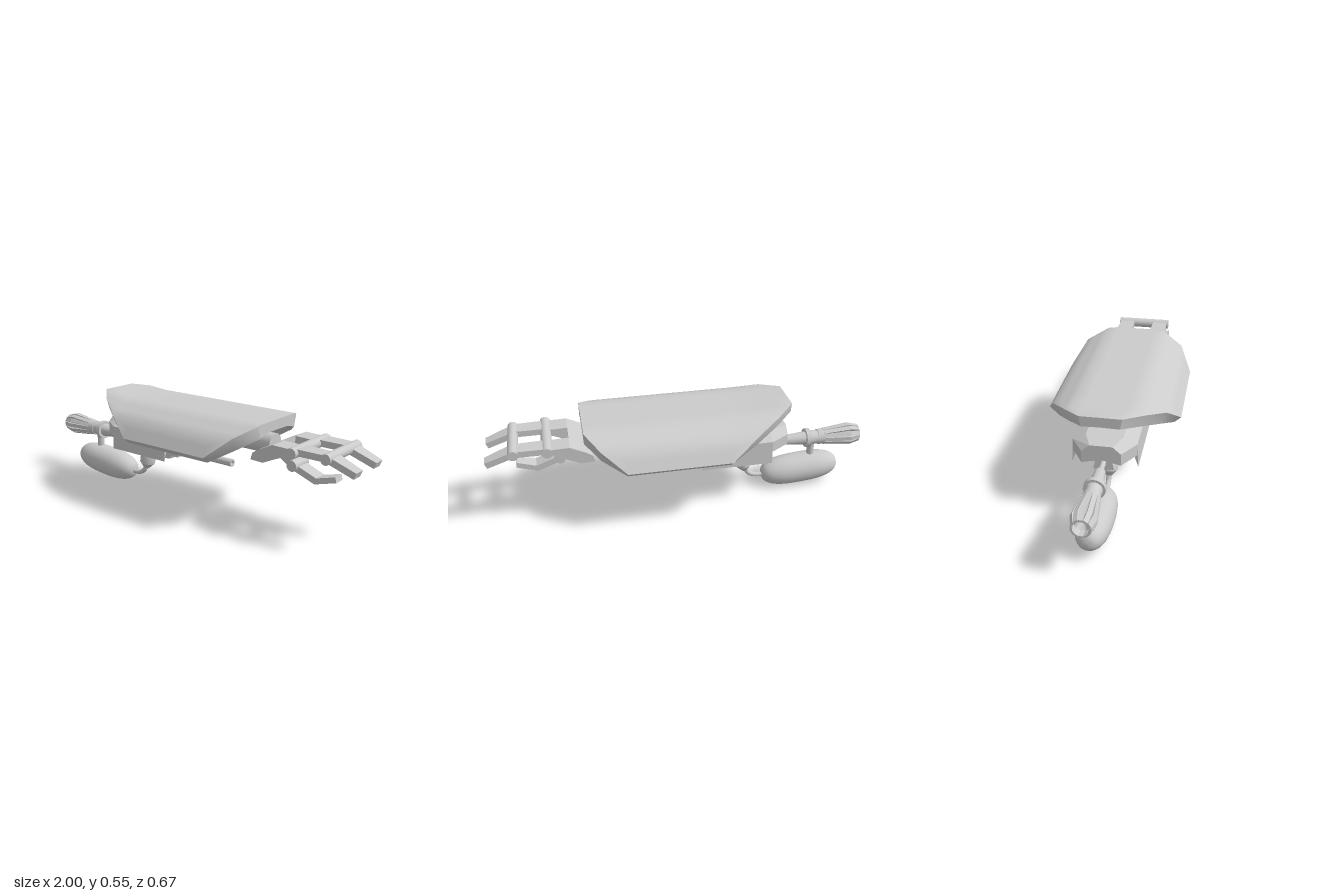
import * as THREE from 'three';
import { toCreasedNormals } from 'three/addons/utils/BufferGeometryUtils.js';

const mat = new THREE.MeshStandardMaterial({ color: 0xcccccc, side: THREE.DoubleSide });

export function createModel() {
  const root = new THREE.Group();

  function add(name, geo, x = 0, y = 0, z = 0) {
    const m = new THREE.Mesh(geo, mat);
    m.name = name;
    m.position.set(x, y, z);
    root.add(m);
    return m;
  }
  // Piecewise linear lookup
  function lerpAt(pts, v) {
    for (let i = 1; i < pts.length; i++) {
      const [a, b] = [pts[i - 1], pts[i]];
      if (v <= b[0]) return a[1] + (b[1] - a[1]) * (v - a[0]) / (b[0] - a[0]);
    }
    return pts[pts.length - 1][1];
  }
  const shapeOf = pts => new THREE.Shape(pts.map(p => new THREE.Vector2(p[0], p[1])));
  // Profile in x-y, centred thickness along z
  function plateZ(name, pts, depth, z = 0) {
    const g = new THREE.ExtrudeGeometry(shapeOf(pts), { depth, bevelEnabled: false });
    return add(name, g, 0, 0, z - depth / 2);
  }
  // Profile in z-y, extruded from x0 to x1, with z scaled by taper at x0
  function plateX(name, pts, x0, x1, taper = 1) {
    const g = new THREE.ExtrudeGeometry(shapeOf(pts.map(p => [-p[0], p[1]])), { depth: x1 - x0, bevelEnabled: false });
    g.rotateY(Math.PI / 2);
    const p = g.attributes.position;
    for (let i = 0; i < p.count; i++) if (p.getX(i) < 0.001) p.setZ(i, p.getZ(i) * taper);
    g.computeVertexNormals();
    return add(name, g, x0, 0, 0);
  }
  // Turned part along x: points are [x, radius]
  function turned(name, pts, y, seg = 20) {
    const g = new THREE.LatheGeometry(pts.map(p => new THREE.Vector2(p[1], p[0])), seg);
    g.rotateZ(-Math.PI / 2);
    return add(name, toCreasedNormals(g, 0.6), 0, y, 0);
  }
  function rodZ(name, x, y, r, len, z = 0) {
    return add(name, new THREE.CylinderGeometry(r, r, len, 16).rotateX(Math.PI / 2), x, y, z);
  }
  // Box link between two points in x-y, narrowing towards the end
  function link(name, a, b, z, w0, w1, t) {
    const dx = b[0] - a[0], dy = b[1] - a[1], len = Math.hypot(dx, dy);
    const g = new THREE.BoxGeometry(len, t, 1);
    const p = g.attributes.position;
    for (let i = 0; i < p.count; i++) p.setZ(i, p.getZ(i) * (p.getX(i) > 0 ? w1 : w0));
    g.computeVertexNormals();
    const m = add(name, g, (a[0] + b[0]) / 2, (a[1] + b[1]) / 2, z);
    m.rotation.z = Math.atan2(dy, dx);
  }

  // Arched shield: one arch trimmed to the half width of each [x, half width, lift] station
  const stations = [[-0.565, 0.1, 0.017], [-0.47, 0.19, 0.01], [-0.34, 0.275, 0], [-0.2, 0.334, 0],
    [0.32, 0.334, 0], [0.44, 0.27, 0], [0.51, 0.165, 0]];
  const outer = [[0, 0.54], [0.155, 0.54], [0.275, 0.485], [0.335, 0.385]];
  const inner = [[0, 0.49], [0.1, 0.488], [0.17, 0.465], [0.245, 0.425], [0.302, 0.355]];
  const half = [0, 0.1, 0.155, 0.19, 0.235, 0.275, 0.305, 0.334];
  const zs = [...half.slice(1).reverse(), ...half.map(v => -v)];
  const N = zs.length - 1, ring = 2 * (N + 1), pos = [], idx = [];
  for (const [x, w, lift] of stations) {
    const trim = z => Math.sign(z) * Math.min(Math.abs(z), w);
    for (let i = 0; i <= N; i++) {
      const z = trim(zs[i]);
      pos.push(x, lerpAt(outer, Math.abs(z)) + lift, z);
    }
    for (let i = N; i >= 0; i--) {
      const z = 0.9 * trim(zs[i]);
      pos.push(x, lerpAt(inner, Math.abs(z)) + lift, z);
    }
  }
  for (let s = 0; s < stations.length - 1; s++)
    for (let i = 0; i < ring; i++) {
      const a = s * ring + i, b = s * ring + (i + 1) % ring;
      idx.push(a, a + ring, b, b, a + ring, b + ring);
    }
  const last = (stations.length - 1) * ring;
  for (let i = 0; i < N; i++) {
    const a = i, b = i + 1, c = ring - 2 - i, d = ring - 1 - i;
    idx.push(a, b, c, a, c, d);
    idx.push(last + a, last + c, last + b, last + a, last + d, last + c);
  }
  const shield = new THREE.BufferGeometry();
  shield.setAttribute('position', new THREE.Float32BufferAttribute(pos, 3));
  shield.setIndex(idx);
  add('shield', toCreasedNormals(shield, 0.7));

  // Elbow and forearm
  add('elbow', new THREE.SphereGeometry(0.095, 24, 16), 0.01, 0.4, 0);
  turned('forearm', [[0.02, 0], [0.02, 0.052], [0.5, 0.052], [0.5, 0]], 0.415);

  // Upper arm cover, tapered behind, with swept side fins
  for (const s of [1, -1]) {
    const cover = [[0, 0.405], [0.09, 0.405], [0.155, 0.37], [0.155, 0.31], [0.08, 0.32], [0, 0.33]]
      .map(p => [p[0] * s, p[1]]);
    plateX('coverSide', cover, -0.46, -0.08);
    plateX('coverEnd', cover, -0.56, -0.46, 0.6);
    plateX('coverFin', [[0.155, 0.37], [0.16, 0.245], [0.14, 0.305], [0.08, 0.32]]
      .map(p => [p[0] * s, p[1]]), -0.46, -0.08);
  }

  // Weapon body, lower rail and rear barrel
  plateX('weaponBody', [[-0.05, 0.24], [0.05, 0.24], [0.042, 0.28], [0.05, 0.31], [0.04, 0.37], [-0.04, 0.37],
    [-0.05, 0.31], [-0.042, 0.28]], -0.5, -0.08);
  plateZ('weaponRail', [[-0.34, 0.245], [-0.32, 0.205], [-0.14, 0.222], [-0.13, 0.245]], 0.1);
  turned('rearBarrel', [[-0.1, 0], [-0.1, 0.022], [-0.02, 0.022], [-0.02, 0.03], [0.01, 0.03], [0.01, 0.02],
    [0.05, 0.02], [0.05, 0.028], [0.075, 0.028], [0.075, 0.02], [0.245, 0.02], [0.245, 0.011], [0.2, 0]], 0.265);
  add('barrelBracket', new THREE.CylinderGeometry(0.014, 0.014, 0.06, 12), 0.02, 0.305, 0);

  // Nozzle: stem, sleeve, flared core and ribs
  turned('nozzleStem', [[-0.78, 0], [-0.78, 0.036], [-0.72, 0.04], [-0.72, 0.052], [-0.695, 0.052], [-0.695, 0.036],
    [-0.58, 0.026], [-0.58, 0.013], [-0.49, 0.013]], 0.277);
  turned('nozzleCore', [[-0.93, 0], [-0.97, 0.03], [-0.94, 0.05], [-0.78, 0.034], [-0.77, 0.036]], 0.277);
  turned('nozzleCollar', [[-0.82, 0.034], [-0.81, 0.044], [-0.765, 0.041], [-0.765, 0.034]], 0.277);
  const ribs = 12;
  for (let i = 0; i < ribs; i++) {
    const g = new THREE.ExtrudeGeometry(shapeOf([[-1, 0.036], [-1, 0.046], [-0.945, 0.06], [-0.8, 0.044],
      [-0.8, 0.03], [-0.94, 0.04]]), { depth: 0.022, bevelEnabled: false });
    g.translate(0, 0, -0.011);
    g.rotateX(i / ribs * Math.PI * 2);
    add('nozzleRib', g, 0, 0.277, 0);
  }

  // Fuel tank with soft ends, strut, hose and hose coupling
  const tankProfile = [];
  for (let i = 0; i <= 24; i++) {
    const a = Math.PI * i / 24, c = Math.cos(a);
    tankProfile.push(new THREE.Vector2(0.085 * Math.pow(Math.max(Math.sin(a), 0), 0.75), 0.218 * Math.sign(c) * -Math.pow(Math.abs(c), 0.75)));
  }
  const tank = add('fuelTank', new THREE.LatheGeometry(tankProfile, 24).rotateZ(-Math.PI / 2), -0.675, 0.091, 0);
  tank.rotation.z = -0.08;
  add('tankStrut', new THREE.CylinderGeometry(0.02, 0.02, 0.11, 14), -0.735, 0.205, 0);
  const path = new THREE.CatmullRomCurve3([[-0.48, 0.072], [-0.42, 0.074], [-0.38, 0.095], [-0.36, 0.145]]
    .map(p => new THREE.Vector3(p[0], p[1], 0)));
  add('hose', new THREE.TubeGeometry(path, 20, 0.013, 10), 0, 0, 0);
  const coupling = new THREE.LatheGeometry([[0.0, -0.055], [0.016, -0.055], [0.043, -0.02], [0.043, 0.03], [0.03, 0.05], [0, 0.055]]
    .map(p => new THREE.Vector2(p[0], p[1])), 16);
  add('hoseCoupling', toCreasedNormals(coupling, 0.6), -0.35, 0.168, 0).rotation.z = -0.2;

  // Palm with a central notch, and knuckle rods
  plateZ('palm', [[0.46, 0.365], [0.53, 0.362], [0.58, 0.385], [0.58, 0.458], [0.5, 0.42], [0.47, 0.4]], 0.3);
  for (const s of [1, -1])
    plateZ('palmSide', [[0.58, 0.385], [0.66, 0.42], [0.69, 0.455], [0.58, 0.458]], 0.1, s * 0.1);
  rodZ('knuckleRod', 0.69, 0.441, 0.027, 0.325, 0.007);
  rodZ('fingerRod', 0.855, 0.442, 0.026, 0.3);

  // Two fingers
  for (const s of [1, -1]) {
    link('fingerBase', [0.69, 0.445], [0.855, 0.442], s * 0.1, 0.09, 0.08, 0.032);
    link('fingerTip', [0.86, 0.438], [0.99, 0.388], s * 0.096, 0.08, 0.06, 0.032);
  }

  // Thumb
  link('thumbRoot', [0.56, 0.395], [0.63, 0.345], 0, 0.1, 0.1, 0.04);
  rodZ('thumbRod', 0.63, 0.342, 0.027, 0.115);
  link('thumbBase', [0.63, 0.335], [0.75, 0.288], 0, 0.08, 0.075, 0.032);
  link('thumbTip', [0.74, 0.286], [0.85, 0.315], 0, 0.075, 0.06, 0.028);

  return root;
}
